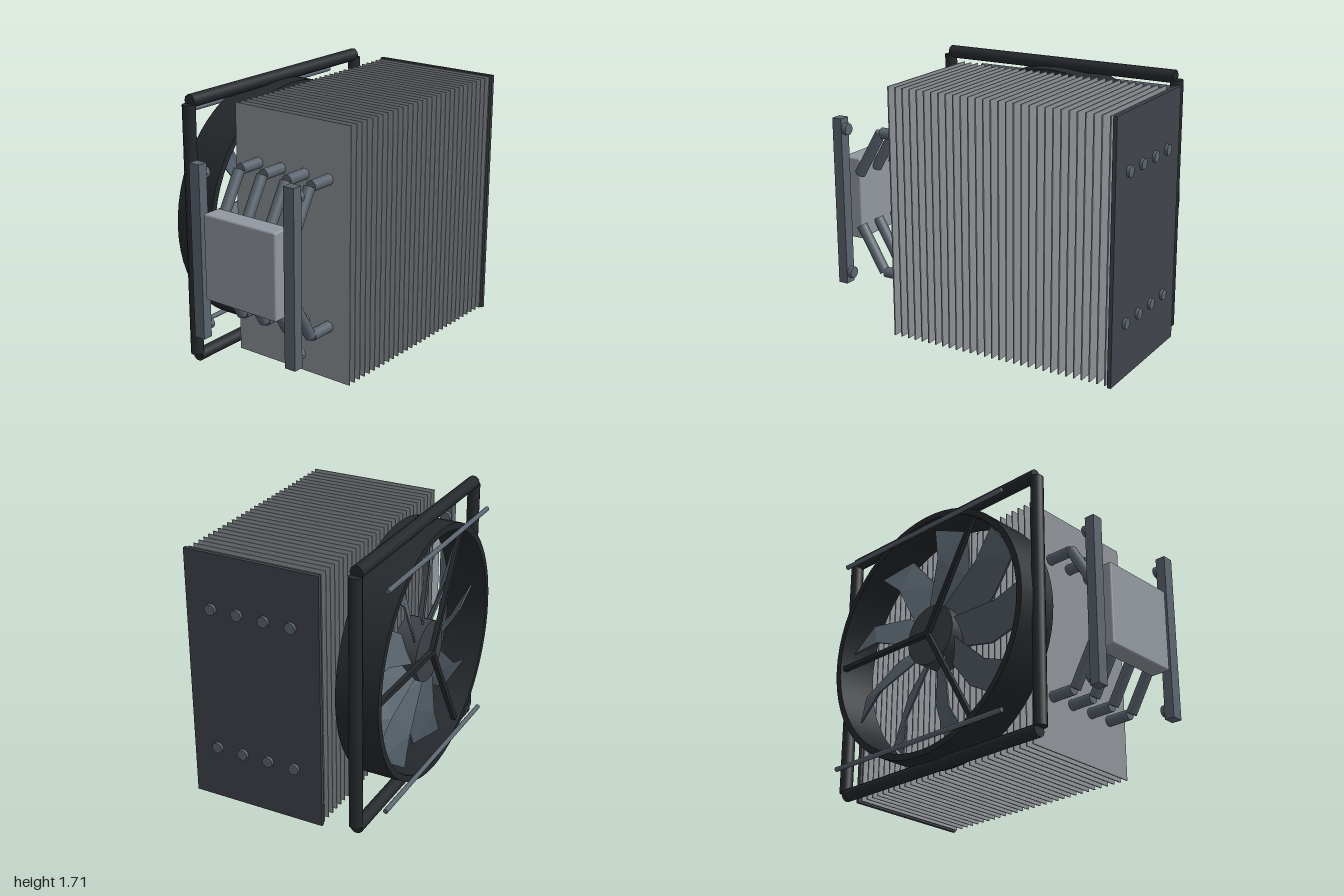
import * as THREE from 'three';
import { toCreasedNormals } from 'three/addons/utils/BufferGeometryUtils.js';
import { RoundedBoxGeometry } from 'three/addons/geometries/RoundedBoxGeometry.js';

const paint = (color, side = THREE.FrontSide) => new THREE.MeshStandardMaterial({ color, side });

export function createModel() {
  const model = new THREE.Group();
  const steel = paint(0x5a646e), dark = paint(0x24282c), finGrey = paint(0x8c9196);
  const plateGrey = paint(0x3f434b), baseGrey = paint(0x9298a0), hubGrey = paint(0x3c4146);
  const bladeGrey = paint(0x56616b, THREE.DoubleSide);

  function add(name, geometry, material, x = 0, y = 0, z = 0, parent = model) {
    const mesh = new THREE.Mesh(geometry, material);
    mesh.name = name;
    mesh.position.set(x, y, z);
    parent.add(mesh);
    return mesh;
  }

  // Round bar between two points
  function rod(name, a, b, radius, material, sides = 20, parent = model) {
    const from = new THREE.Vector3(...a), to = new THREE.Vector3(...b);
    const dir = to.clone().sub(from);
    const mesh = add(name, new THREE.CylinderGeometry(radius, radius, dir.length(), sides), material, 0, 0, 0, parent);
    mesh.position.copy(from).add(to).multiplyScalar(0.5);
    mesh.quaternion.setFromUnitVectors(new THREE.Vector3(0, 1, 0), dir.normalize());
    return mesh;
  }

  // Fin stack and its end plate
  const fin = new THREE.BoxGeometry(0.008, 1.59, 0.85);
  for (let i = 0; i < 30; i++) add('fin', fin, finGrey, -0.52 + i * 0.0503, 0.86, 0.165);
  add('endPlate', new THREE.BoxGeometry(0.024, 1.6, 0.865), plateGrey, 0.97, 0.86, 0.167);

  // Heat pipes: straight run through the fins, bent leg to the base
  const midY = 0.86;
  for (let i = 0; i < 4; i++) {
    const z = -0.087 + i * 0.1735;
    for (const s of [1, -1]) {
      const y = midY + s * 0.455;
      rod('heatPipe', [-0.685, y, z], [1, y, z], 0.034, steel);
      rod('heatPipeLeg', [-0.862, midY + s * 0.17, z], [-0.695, y, z], 0.034, steel);
    }
  }

  // Contact base, mounting bars and screws
  add('base', new RoundedBoxGeometry(0.13, 0.53, 0.53, 2, 0.012), baseGrey, -0.932, midY, 0.165);
  for (const z of [-0.18, 0.51]) {
    add('mountingBar', new THREE.BoxGeometry(0.065, 1.08, 0.074), steel, -0.943, midY, z);
    for (const s of [1, -1]) {
      const y = midY + s * 0.47;
      rod('screw', [-0.908, y, z], [-0.88, y, z], 0.037, steel, 16);
    }
  }

  // Fan
  const fan = new THREE.Group();
  fan.name = 'fan';
  fan.position.set(0.075, 0.857, -0.437);
  model.add(fan);

  // Square outer frame of four bars
  for (const s of [1, -1]) {
    rod('frameBar', [-0.8, s * 0.816, 0], [0.8, s * 0.816, 0], 0.041, dark, 10, fan);
    rod('framePost', [s * 0.808, -0.798, 0], [s * 0.808, 0.798, 0], 0.041, dark, 10, fan);
  }

  // Shroud ring
  const profile = [[0.76, -0.136], [0.8, -0.136], [0.8, 0.136], [0.76, 0.136], [0.76, -0.136]]
    .map(([r, y]) => new THREE.Vector2(r, y));
  const ring = toCreasedNormals(new THREE.LatheGeometry(profile, 64).rotateX(Math.PI / 2), 0.6);
  add('shroud', ring, dark, 0, 0, 0, fan);

  // Hub
  rod('hub', [0, 0, -0.08], [0, 0, 0.08], 0.192, hubGrey, 40, fan);

  // Struts behind the blades
  for (let i = 0; i < 3; i++) {
    const pivot = new THREE.Group();
    pivot.rotation.z = (i * Math.PI * 2) / 3;
    fan.add(pivot);
    add('strut', new THREE.BoxGeometry(0.78, 0.03, 0.03), dark, 0.39, 0, -0.1, pivot);
  }

  // Blades: three swept, pitched cross-sections along the radius
  const sections = [
    [[0.17, -0.07, -0.05], [0.17, 0.09, 0.05]],
    [[0.395, -0.135, -0.05], [0.52, 0.06, 0.05]],
    [[0.712, 0.075, -0.04], [0.748, 0.14, 0.04]],
  ];
  sections[1] = [[0.52, -0.06, -0.055], [0.395, 0.138, 0.055]];
  sections[2] = [[0.735, -0.14, -0.04], [0.712, 0.075, 0.04]];
  const points = [], index = [];
  const half = 0.006;
  for (const [a, b] of sections) {
    for (const [p, dz] of [[a, half], [b, half], [b, -half], [a, -half]]) points.push(p[0], p[1], p[2] + dz);
  }
  for (let s = 0; s < 2; s++) {
    for (let k = 0; k < 4; k++) {
      const a = s * 4 + k, b = s * 4 + (k + 1) % 4;
      index.push(a, a + 4, b, b, a + 4, b + 4);
    }
  }
  index.push(8, 10, 9, 8, 11, 10);
  const raw = new THREE.BufferGeometry();
  raw.setAttribute('position', new THREE.Float32BufferAttribute(points, 3));
  raw.setIndex(index);
  const blade = raw.toNonIndexed();
  blade.computeVertexNormals();
  for (let i = 0; i < 9; i++) {
    add('blade', blade, bladeGrey, 0, 0, 0, fan).rotation.z = Math.PI + (i * Math.PI * 2) / 9;
  }

  // Retaining wires on the back
  for (const s of [1, -1]) {
    const y = midY + s * 0.705;
    rod('wireClip', [-0.587, y, -0.589], [0.803, y, -0.589], 0.015, steel, 12);
  }

  return model;
}
